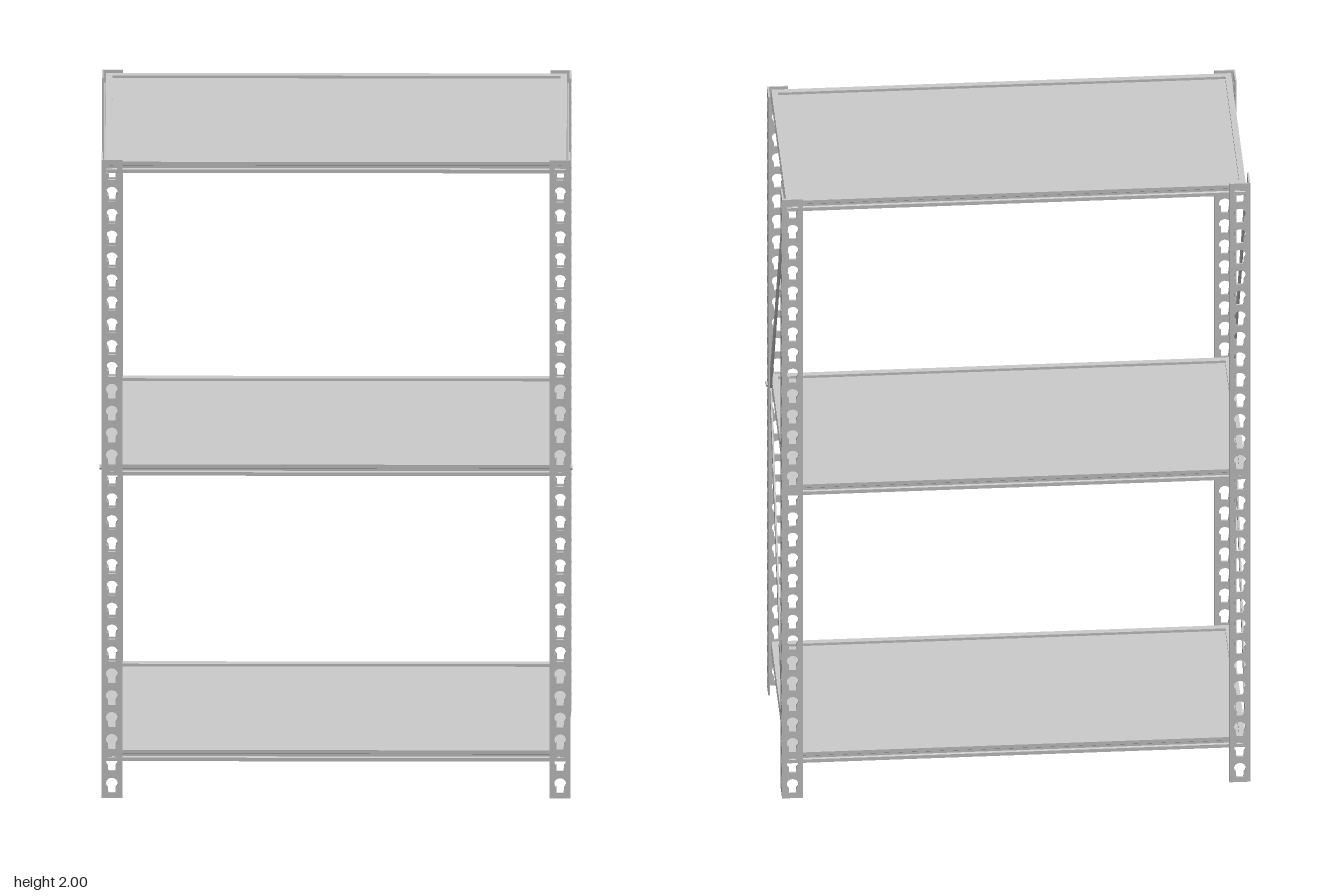
import * as THREE from 'three';

const HX = 0.67, HZ = 0.313;      // outer half sizes of the frame
const FLANGE = 0.06, SHEET = 0.005;
const SHELF_Y = [0.113, 1.008, 1.957], SHELF_H = 0.035;
const SHELF_X = 0.658, SHELF_Z = HZ - SHEET - 0.001;

const material = new THREE.MeshStandardMaterial({ color: 0xcccccc, flatShading: true });

function addMesh(parent, geometry, name, x = 0, y = 0, z = 0) {
  const mesh = new THREE.Mesh(geometry, material);
  mesh.name = name;
  mesh.position.set(x, y, z);
  parent.add(mesh);
  return mesh;
}

// Flat steel strip with a column of keyhole slots, wide end up
function flangeGeometry() {
  const w = FLANGE / 2;
  const strip = new THREE.Shape([
    new THREE.Vector2(-w, 0), new THREE.Vector2(w, 0),
    new THREE.Vector2(w, 2), new THREE.Vector2(-w, 2)
  ]);
  for (let i = 0; i < 29; i++) {
    const y = 0.04 + i * 0.0686;
    const hole = new THREE.Path();
    hole.moveTo(-0.010, y - 0.023);
    hole.lineTo(0.010, y - 0.023);
    hole.lineTo(0.011, y - 0.002);
    hole.absarc(0, y + 0.007, 0.0165, -0.8, Math.PI + 0.8, false);
    hole.lineTo(-0.011, y - 0.002);
    hole.closePath();
    strip.holes.push(hole);
  }
  const geometry = new THREE.ExtrudeGeometry(strip, {
    depth: SHEET, bevelEnabled: false, curveSegments: 8
  });
  return geometry.translate(0, 0, -SHEET / 2);
}

// Rim beam with a groove along its outer face; outward is +x, length runs on z
function beamGeometry(length) {
  const profile = [
    [-0.018, 0], [0, 0], [0, 0.011], [-0.004, 0.014], [-0.004, 0.021],
    [0, 0.024], [0, SHELF_H], [-0.018, SHELF_H]
  ].map(([u, v]) => new THREE.Vector2(u, v));
  const geometry = new THREE.ExtrudeGeometry(new THREE.Shape(profile), {
    depth: length, bevelEnabled: false
  });
  return geometry.translate(0, 0, -length / 2);
}

function createShelf(y) {
  const shelf = new THREE.Group();
  shelf.name = 'shelf';
  shelf.position.y = y;
  addMesh(shelf, new THREE.BoxGeometry(SHELF_X * 2 - 0.02, 0.024, SHELF_Z * 2 - 0.02),
    'deck', 0, 0.015, 0);
  for (const s of [-1, 1]) {
    const long = addMesh(shelf, beamGeometry(SHELF_X * 2), 'longBeam', 0, 0, s * SHELF_Z);
    long.rotation.y = -s * Math.PI / 2;
    const end = addMesh(shelf, beamGeometry(SHELF_Z * 2 - 0.004), 'endBeam', s * SHELF_X, 0, 0);
    end.rotation.y = s > 0 ? 0 : Math.PI;
  }
  return shelf;
}

// Flat bar between two (z, y) points in an end frame
function addBrace(parent, x, [z0, y0], [z1, y1]) {
  const length = Math.hypot(z1 - z0, y1 - y0);
  const brace = addMesh(parent, new THREE.BoxGeometry(SHEET, length, 0.034), 'brace',
    x, (y0 + y1) / 2, (z0 + z1) / 2);
  brace.rotation.x = Math.atan2(z1 - z0, y1 - y0);
}

export function createModel() {
  const rack = new THREE.Group();
  rack.name = 'shelvingRack';

  // Angle posts at the four corners
  const flange = flangeGeometry();
  for (const sx of [-1, 1]) {
    for (const sz of [-1, 1]) {
      const post = new THREE.Group();
      post.name = 'post';
      addMesh(post, flange, 'longFaceFlange',
        sx * (HX - FLANGE / 2), 0, sz * (HZ - SHEET / 2));
      const side = addMesh(post, flange, 'endFaceFlange',
        sx * (HX - SHEET / 2), 0, sz * (HZ - FLANGE / 2));
      side.rotation.y = Math.PI / 2;
      rack.add(post);
    }
  }

  for (const y of SHELF_Y) rack.add(createShelf(y));

  // Diagonal braces and their front bolts on both ends
  const bolt = new THREE.CylinderGeometry(0.008, 0.008, 0.02, 8).rotateZ(Math.PI / 2);
  for (const sx of [-1, 1]) {
    const x = sx * (HX - SHEET * 1.5 - 0.001);
    addBrace(rack, x, [0.285, 1.02], [-0.285, 1.97]);
    addBrace(rack, x, [0.285, 1.02], [-0.285, 0.12]);
    addMesh(rack, bolt, 'braceBolt', sx * (HX - 0.005), 1.025, 0.283);
  }
  return rack;
}
